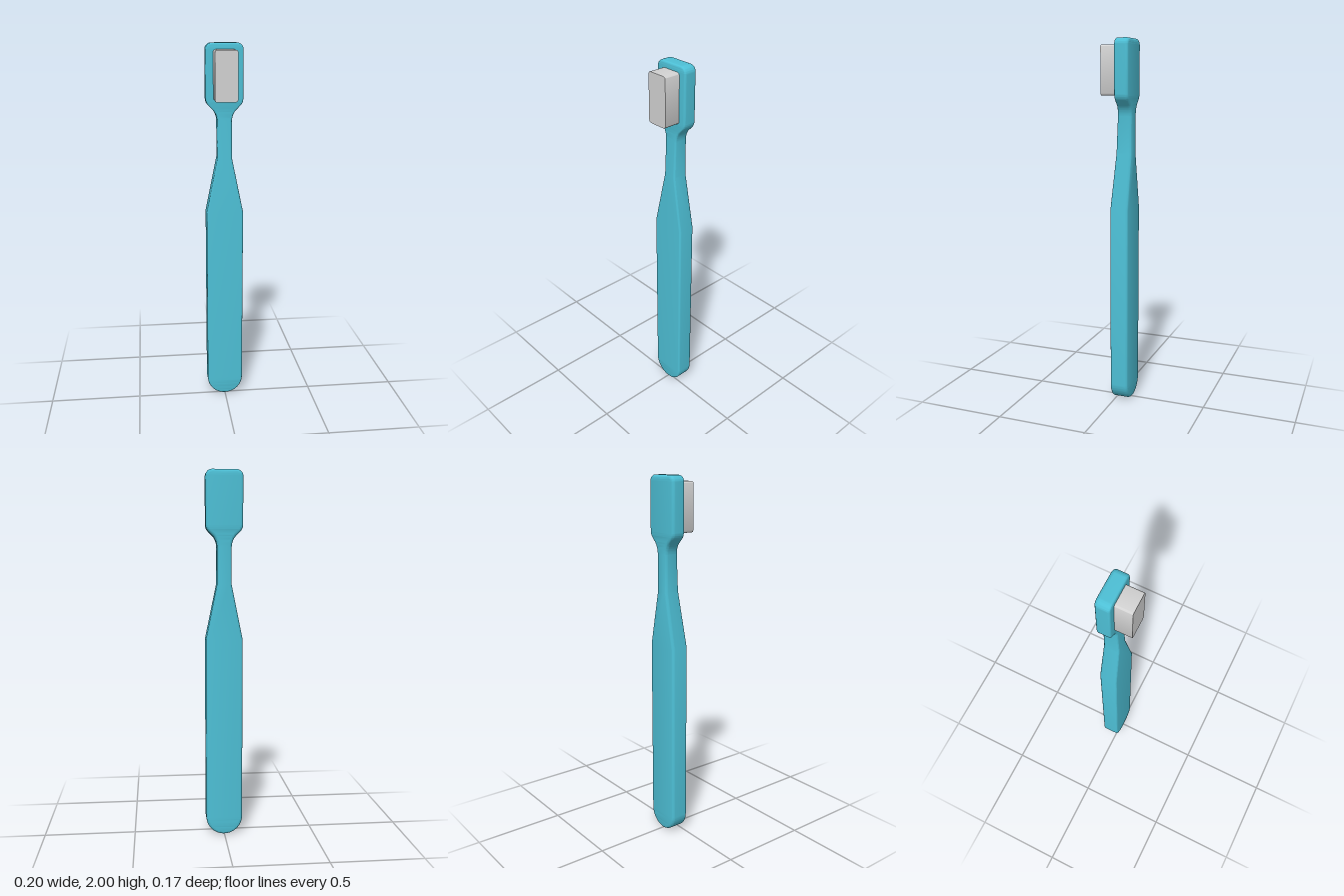
import * as THREE from 'three';
import { toCreasedNormals } from 'three/addons/utils/BufferGeometryUtils.js';

const BACK = -0.085;

// Height of the front surface: thick grip, thinning towards the head
function frontZ(y) {
  return THREE.MathUtils.mapLinear(THREE.MathUtils.clamp(y, 1.1, 1.65), 1.1, 1.65, 0.016, -0.007);
}

// Right half of the handle outline, bottom to top
function halfOutline() {
  const p = new THREE.Path();
  p.moveTo(0, 0.003);
  p.absarc(0, 0.103, 0.1, -Math.PI / 2, 0, false);
  p.lineTo(0.1, 1.1);
  p.lineTo(0.039, 1.4);
  p.lineTo(0.039, 1.59);
  p.quadraticCurveTo(0.039, 1.63, 0.062, 1.655);
  p.lineTo(0.084, 1.677);
  p.quadraticCurveTo(0.1, 1.693, 0.1, 1.715);
  p.lineTo(0.1, 1.965);
  p.absarc(0.065, 1.965, 0.035, 0, Math.PI / 2, false);
  p.lineTo(0, 2);
  const pts = p.getPoints(12);
  return pts.filter((q, i) => i === 0 || q.distanceTo(pts[i - 1]) > 1e-5);
}

// Moves every outline point inward by d along its mitred normal
function inset(pts, d) {
  const normal = (a, b) => new THREE.Vector2(b.y - a.y, a.x - b.x).normalize();
  const last = pts.length - 1;
  return pts.map((p, i) => {
    if (i === 0) return new THREE.Vector2(0, p.y + d);
    if (i === last) return new THREE.Vector2(0, p.y - d);
    const n1 = normal(pts[i - 1], p), n2 = normal(p, pts[i + 1]);
    const m = n1.clone().add(n2).normalize();
    return p.clone().addScaledVector(m, -d / m.dot(n1));
  });
}

function handleGeometry() {
  const half = halfOutline(), n = half.length - 1, ring = 2 * n, steps = 6;
  const pos = [], idx = [];
  let layers = 0;
  const addLayer = (d, zAt) => {
    const r = inset(half, d);
    for (let j = 0; j < ring; j++) {
      const q = j <= n ? r[j] : r[ring - j];
      pos.push(j <= n ? q.x : -q.x, q.y, zAt(q.y));
    }
    layers++;
  };
  // Rounded back edge, then the tighter rounded front edge
  const rb = 0.018, rf = 0.011;
  for (let s = 0; s <= steps; s++) {
    const t = (s / steps) * Math.PI / 2;
    addLayer(rb * (1 - Math.sin(t)), () => BACK + rb * (1 - Math.cos(t)));
  }
  for (let s = steps; s >= 0; s--) {
    const t = (s / steps) * Math.PI / 2;
    addLayer(rf * (1 - Math.sin(t)), y => frontZ(y) - rf * (1 - Math.cos(t)));
  }
  // Side walls
  for (let k = 0; k < layers - 1; k++) {
    for (let j = 0; j < ring; j++) {
      const a = k * ring + j, b = k * ring + (j + 1) % ring;
      idx.push(a, b, b + ring, a, b + ring, a + ring);
    }
  }
  // Front and back faces, as strips from the right side to the left
  const top = (layers - 1) * ring;
  for (let i = 0; i < n; i++) {
    const r0 = i, r1 = i + 1, l0 = (ring - i) % ring, l1 = ring - i - 1;
    const tris = [];
    if (r1 !== l1) tris.push([r0, r1, l1]);
    if (r0 !== l0) tris.push([r0, l1, l0]);
    for (const [a, b, c] of tris) idx.push(top + a, top + b, top + c, a, c, b);
  }
  const g = new THREE.BufferGeometry();
  g.setAttribute('position', new THREE.Float32BufferAttribute(pos, 3));
  g.setIndex(idx);
  return toCreasedNormals(g, 0.4);
}

// Block of bristles with softly rounded upright corners
function bristleGeometry() {
  const w = 0.06, y0 = 1.705, y1 = 1.967, r = 0.014, h = Math.PI / 2;
  const s = new THREE.Shape();
  s.absarc(w - r, y0 + r, r, -h, 0, false);
  s.absarc(w - r, y1 - r, r, 0, h, false);
  s.absarc(-w + r, y1 - r, r, h, 2 * h, false);
  s.absarc(-w + r, y0 + r, r, 2 * h, 3 * h, false);
  const g = new THREE.ExtrudeGeometry(s, { depth: 0.103, bevelEnabled: false, curveSegments: 6 });
  g.translate(0, 0, -0.02);
  return toCreasedNormals(g, 0.5);
}

export function createModel() {
  const plastic = new THREE.MeshStandardMaterial({ color: 0x4dbfd5 });
  plastic.name = 'turquoise plastic';
  const bristle = new THREE.MeshStandardMaterial({ color: 0xd2d2d2 });
  bristle.name = 'light grey bristle';

  const group = new THREE.Group();
  group.name = 'toothbrush';
  const handle = new THREE.Mesh(handleGeometry(), plastic);
  handle.name = 'handle';
  const bristles = new THREE.Mesh(bristleGeometry(), bristle);
  bristles.name = 'bristles';
  group.add(handle, bristles);
  return group;
}
